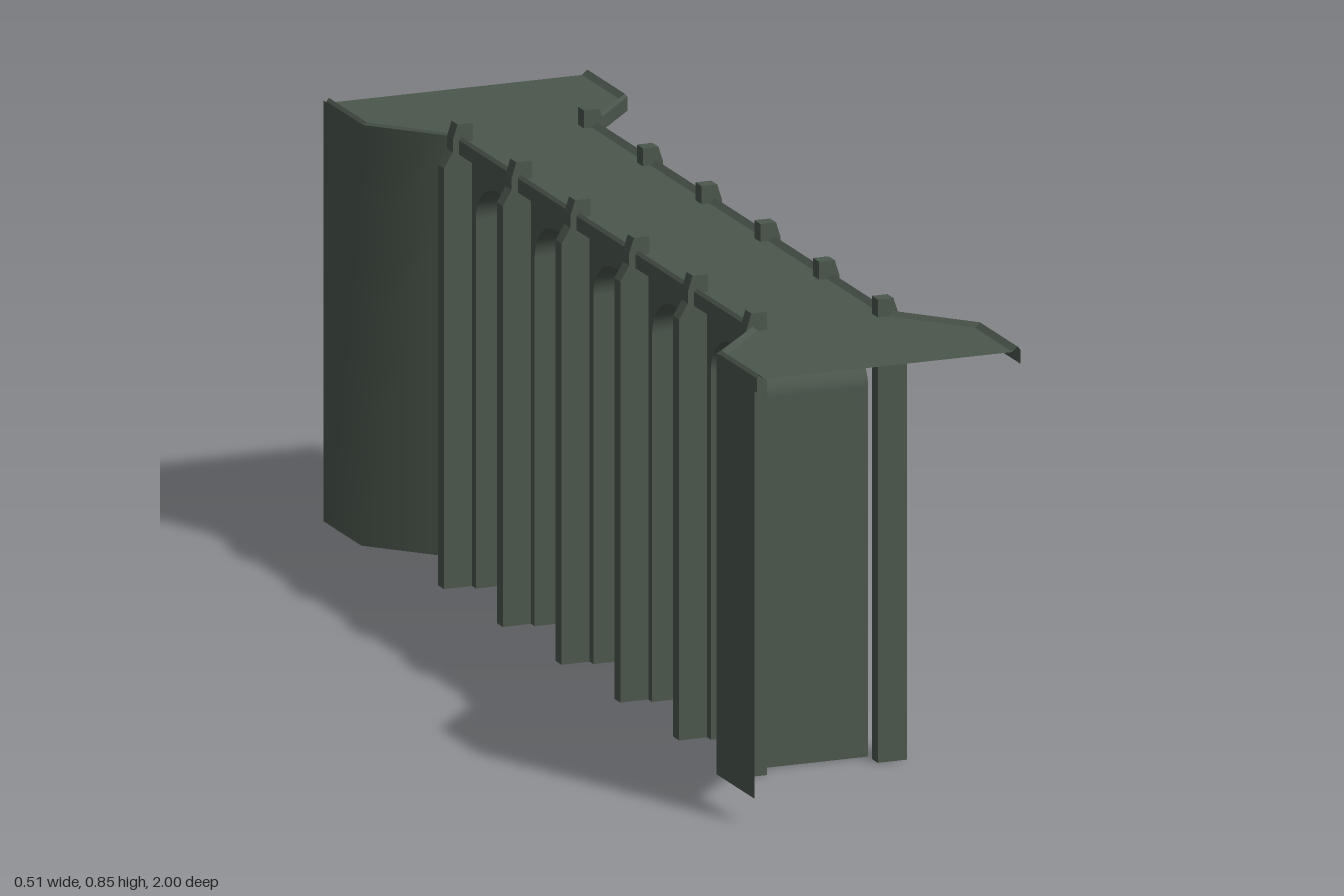
import * as THREE from 'three';

const SPACING = 0.273, HALF_OPENING = 0.105, SPRING = 0.68, RISE = 0.075;
const FACADE_X = -0.11, DECK_Y = 0.82;

// Open sheet lofted through rows of [x, y, z] points
function loft(rows, material, name, flat = false) {
  const n = rows[0].length, index = [];
  for (let r = 0; r < rows.length - 1; r++) {
    for (let i = 0; i < n - 1; i++) {
      const a = r * n + i, b = a + 1, c = a + n, d = c + 1;
      index.push(a, b, d, a, d, c);
    }
  }
  let geometry = new THREE.BufferGeometry();
  geometry.setAttribute('position', new THREE.Float32BufferAttribute(rows.flat(2), 3));
  geometry.setIndex(index);
  if (flat) geometry = geometry.toNonIndexed();
  geometry.computeVertexNormals();
  const mesh = new THREE.Mesh(geometry, material);
  mesh.name = name;
  return mesh;
}

// Half of an opening outline: up one leg, over the arch, down the other, as [z, y]
function archOutline(centre) {
  const points = [[centre - HALF_OPENING, 0]];
  const steps = 20;
  for (let i = 0; i <= steps; i++) {
    const t = Math.PI * (1 - i / steps);
    points.push([centre + HALF_OPENING * Math.cos(t), SPRING + RISE * Math.sin(t)]);
  }
  points.push([centre + HALF_OPENING, 0]);
  return points;
}

// Deck edge on the +x side, as [x, z]
function edgePath(inset) {
  return [[0.253, 1], [0.253, 0.825], [0.135, 0.69],
    [0.135, -0.69], [0.253, -0.825], [0.253, -1]].map(([x, z]) => [x - inset, z]);
}

export function createModel() {
  const model = new THREE.Group();
  model.name = 'viaduct';
  const stone = new THREE.MeshStandardMaterial({ color: 0x4b574d, side: THREE.DoubleSide });
  stone.name = 'dark green stone';

  // Road deck, a flat sheet widening at both ends
  const inner = edgePath(0.015);
  const outline = [...inner, ...inner.map(([x, z]) => [-x, z]).reverse()];
  const deckShape = new THREE.Shape(outline.map(([x, z]) => new THREE.Vector2(x, -z)));
  const deck = new THREE.Mesh(new THREE.ShapeGeometry(deckShape).rotateX(-Math.PI / 2), stone);
  deck.name = 'deck';
  deck.position.y = DECK_Y;
  model.add(deck);

  // Edge fascia with a sloping coping down to the deck
  for (const side of [-1, 1]) {
    const line = (inset, y) => edgePath(inset).map(([x, z]) => [side * x, y, z]);
    const rows = [line(0, 0.797), line(0, 0.823), line(0.005, 0.829), line(0.015, DECK_Y)];
    if (side < 0) rows.reverse();
    model.add(loft(rows, stone, side > 0 ? 'leftFascia' : 'rightFascia', true));
  }

  // Arch linings with their pier faces
  const facade = [[-0.695, 0]];
  for (let i = -2; i <= 2; i++) {
    const arch = archOutline(i * SPACING);
    facade.push(...arch);
    const edge = x => arch.map(([z, y]) => [x, y, z]);
    model.add(loft([edge(FACADE_X), edge(0.105)], stone, 'archLining'));
  }

  // Arcaded facade, on the right side only
  facade.push([0.695, 0], [0.695, DECK_Y], [-0.695, DECK_Y]);
  const facadeShape = new THREE.Shape(facade.map(([z, y]) => new THREE.Vector2(z, y)));
  const wall = new THREE.Mesh(new THREE.ShapeGeometry(facadeShape).rotateY(-Math.PI / 2), stone);
  wall.name = 'facade';
  wall.position.x = FACADE_X;
  model.add(wall);

  // Flared wing walls at both ends of the facade
  for (const end of [-1, 1]) {
    const plan = [[-0.135, 0.69], [-0.258, 0.825], [-0.258, 1]];
    const row = y => plan.map(([x, z]) => [x, y, end * z]);
    const rows = [row(0.05), row(0.825)];
    if (end < 0) rows.reverse();
    model.add(loft(rows, stone, 'wingWall'));
  }

  // Pilasters with stepped caps
  const profile = [[0.105, 0], [0.161, 0], [0.161, 0.775], [0.144, 0.803],
    [0.144, 0.825], [0.135, 0.853], [0.105, 0.853]];
  for (const side of [-1, 1]) {
    const points = profile.map(([x, y]) => new THREE.Vector2(side * (x + (side < 0 ? 0.003 : 0)), y));
    const geometry = new THREE.ExtrudeGeometry(new THREE.Shape(points), { depth: 0.028, bevelEnabled: false });
    geometry.translate(0, 0, -0.014);
    for (let i = 0; i < 6; i++) {
      const pilaster = new THREE.Mesh(geometry, stone);
      pilaster.name = 'pilaster';
      pilaster.position.z = (i - 2.5) * SPACING;
      model.add(pilaster);
    }
  }
  return model;
}
